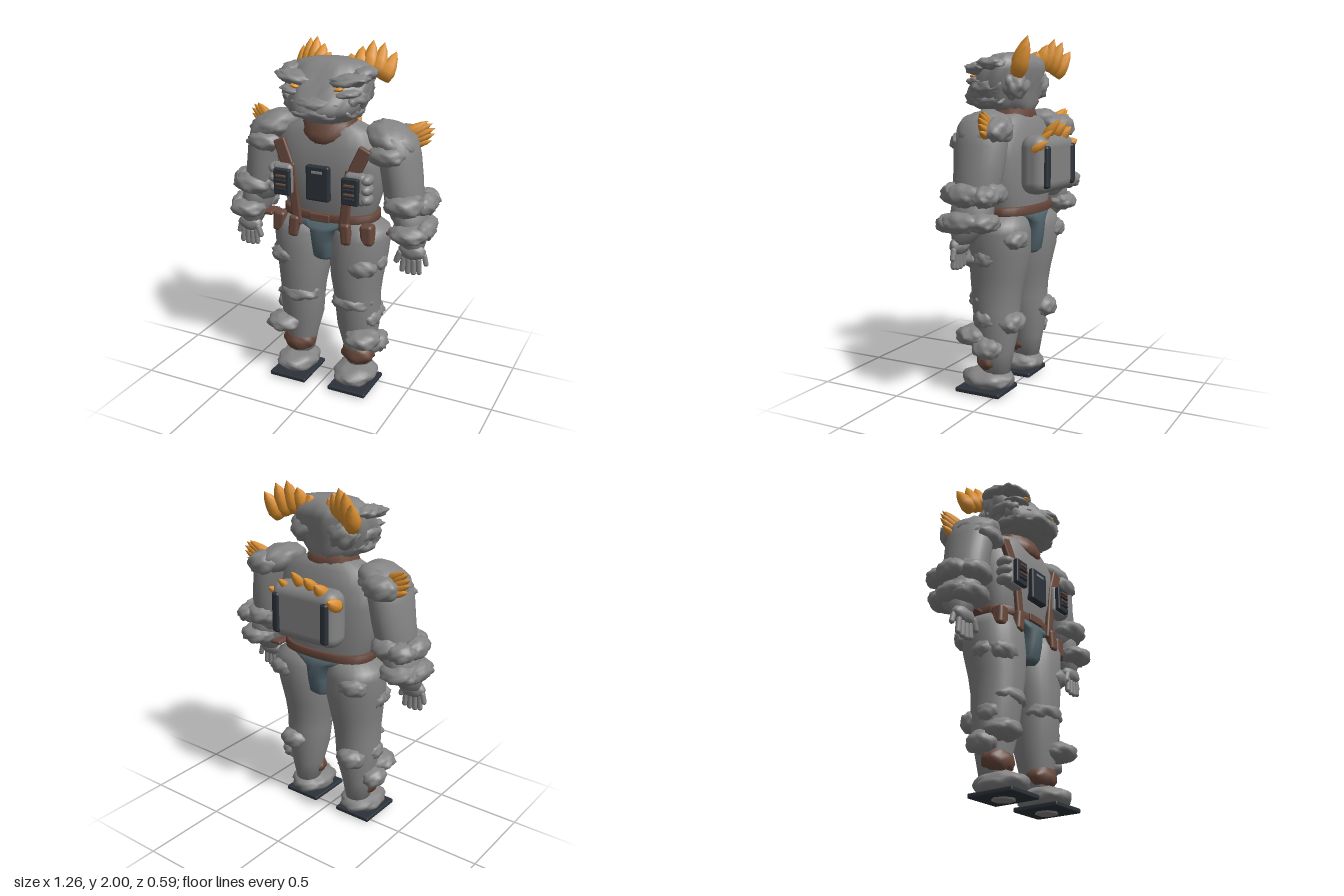
import * as THREE from 'three';
import { mergeVertices } from 'three/addons/utils/BufferGeometryUtils.js';
import { RoundedBoxGeometry } from 'three/addons/geometries/RoundedBoxGeometry.js';

const mat = (name, color) => {
  const m = new THREE.MeshStandardMaterial({ color });
  m.name = name;
  return m;
};

export function createModel() {
  const stone = mat('stone grey', 0x848484);
  const leather = mat('leather brown', 0x68483c);
  const amber = mat('amber', 0xdc9030);
  const dark = mat('dark slate', 0x2c323a);
  const cloth = mat('cloth teal', 0x50636b);
  const metal = mat('light metal', 0x858a90);

  const model = new THREE.Group();
  model.name = 'rockCreature';
  const add = (name, geo, material, x = 0, y = 0, z = 0, rz = 0, rx = 0) => {
    const m = new THREE.Mesh(geo, material);
    m.name = name;
    m.position.set(x, y, z);
    m.rotation.set(rx, 0, rz);
    model.add(m);
    return m;
  };

  // Lumpy boulder: sphere roughened by a direction-based rule
  let seed = 1;
  const rock = (name, x, y, z, rx, ry, rz, tilt = 0, rough = 0.13, material = stone) => {
    let g = new THREE.IcosahedronGeometry(1, 4);
    g.deleteAttribute('uv');
    g.deleteAttribute('normal');
    g = mergeVertices(g, 1e-4);
    const p = g.attributes.position;
    const k = seed++ * 1.7;
    for (let i = 0; i < p.count; i++) {
      const a = p.getX(i), b = p.getY(i), c = p.getZ(i);
      const ridge = Math.abs(Math.sin(a * 4 + b * 3 + k) * Math.cos(c * 4.5 - b * 2 - k));
      const r = 1 + rough * (1.3 * ridge - 0.4 + 0.5 * Math.sin(b * 8 + a * 7 + k) * Math.cos(c * 9 + k));
      p.setXYZ(i, a * r * rx, b * r * ry, c * r * rz);
    }
    g.computeVertexNormals();
    return add(name, g, material, x, y, z, tilt);
  };

  // Body surface through stacked sections [x, y, z, rx, rz]; power above 2 gives boxier sections
  const loft = (name, rows, material, power = 2, rough = 0, n = 28) => {
    const pos = [], idx = [];
    const q = (v) => Math.sign(v) * Math.abs(v) ** (2 / power);
    rows.forEach(([x, y, z, rx, rz], i) => {
      for (let j = 0; j < n; j++) {
        const t = (j / n) * Math.PI * 2;
        const r = 1 + rough * Math.sin(j * 2.3 + i * 4.1) * Math.cos(j * 1.1 - i * 2);
        pos.push(x + q(Math.cos(t)) * rx * r, y, z + q(Math.sin(t)) * rz * r);
      }
    });
    for (let i = 0; i < rows.length - 1; i++) {
      for (let j = 0; j < n; j++) {
        const a = i * n + j, b = i * n + (j + 1) % n;
        idx.push(a, a + n, b, b, a + n, b + n);
      }
    }
    [0, rows.length - 1].forEach((i) => {
      const c = pos.length / 3;
      pos.push(...rows[i].slice(0, 3));
      for (let j = 0; j < n; j++) {
        const a = i * n + j, b = i * n + (j + 1) % n;
        idx.push(c, i ? b : a, i ? a : b);
      }
    });
    const g = new THREE.BufferGeometry();
    g.setAttribute('position', new THREE.Float32BufferAttribute(pos, 3));
    g.setIndex(idx);
    g.computeVertexNormals();
    return add(name, g, material);
  };

  // Swollen spike running from base to tip
  const spike = (name, base, tip, radius) => {
    const a = new THREE.Vector3(...base), d = new THREE.Vector3(...tip).sub(a), h = d.length();
    const profile = [[0, 0], [0.75, 0], [1, 0.25], [0.85, 0.5], [0.5, 0.78], [0, 1]]
      .map(([r, y]) => new THREE.Vector2(r * radius, y * h));
    const m = add(name, new THREE.LatheGeometry(profile, 8), amber, ...base);
    m.quaternion.setFromUnitVectors(new THREE.Vector3(0, 1, 0), d.normalize());
  };
  const box = (name, x, y, z, w, h, d, material, r = 0.01, tilt = 0, rx = 0) =>
    add(name, new RoundedBoxGeometry(w, h, d, 3, r), material, x, y, z, tilt, rx);

  // Torso, hips and collar
  loft('torso', [[0, 1, 0, .23, .13], [0, 1.08, 0, .265, .145], [0, 1.2, .01, .305, .16], [0, 1.35, .01, .325, .165],
    [0, 1.46, .01, .31, .15], [0, 1.54, .01, .25, .125], [0, 1.59, .01, .12, .1]], stone, 2.5);
  loft('loincloth', [[0, .8, .01, .058, .14], [0, .82, .01, .066, .165], [0, .9, .01, .074, .18], [0, .98, .01, .084, .185],
    [0, 1.0, .01, .15, .175], [0, 1.04, 0, .24, .155]], cloth, 3);
  loft('belt', [[0, 1.03, 0, .27, .155], [0, 1.035, 0, .285, .165], [0, 1.075, 0, .285, .165], [0, 1.08, 0, .27, .155]], leather, 2.5);
  box('buckle', 0, 1.055, .165, .12, .045, .02, leather, .005);
  loft('collar', [[0, 1.475, .05, .09, .11], [0, 1.495, .045, .125, .125], [0, 1.53, .035, .15, .135],
    [0, 1.575, .02, .15, .125], [0, 1.62, .02, .13, .11]], leather, 2.3, .04);

  // Head with jutting jaw
  loft('head', [[0, 1.59, .045, .12, .13], [0, 1.615, .06, .165, .16], [0, 1.645, .08, .195, .19], [0, 1.68, .085, .215, .2],
    [0, 1.72, .065, .228, .19], [0, 1.77, .045, .238, .18], [0, 1.82, .02, .238, .165], [0, 1.865, 0, .222, .145],
    [0, 1.9, 0, .18, .11], [0, 1.915, 0, .1, .07]], stone, 2, .075, 40);
  rock('upperLip', 0, 1.705, .165, .145, .045, .11);
  rock('lowerJaw', 0, 1.655, .17, .15, .042, .115);

  // Chest unit and backpack
  box('chestUnit', 0, 1.26, .175, .14, .2, .05, dark, .012);
  box('chestUnitLabel', 0, 1.325, .2, .065, .015, .008, metal, .002);
  box('backpack', 0, 1.31, -.2, .44, .32, .155, stone, .065);
  [[-.2, .042, 1.385, 1.435], [-.115, .04, 1.43, 1.51], [-.045, .034, 1.45, 1.535],
    [.04, .03, 1.455, 1.555], [.13, .025, 1.42, 1.5], [.2, .027, 1.385, 1.44]]
    .forEach(([x, r, y, ty]) => spike('backpackSpike', [x, y, -.2], [x, ty, -.293], r));

  for (const s of [1, -1]) {
    // Face and skull
    rock('brow', s * .15, 1.822, .125, .115, .036, .09, s * .15, .18);
    rock('browOuter', s * .21, 1.85, .04, .06, .035, .09, 0, .16);
    rock('cheek', s * .19, 1.73, .08, .05, .05, .1, 0, .16);
    rock('jawLump', s * .16, 1.655, .08, .05, .04, .1);
    rock('underEye', s * .15, 1.757, .145, .08, .024, .075, s * .1);
    rock('eye', s * .128, 1.785, .196, .026, .011, .022, s * .2, 0, amber);
    rock('skullLump', s * .12, 1.74, -.06, .09, .08, .07, 0, .18);

    // Head crest
    [[.09, 1.84, -.06, .06, 1.925, -.105], [.125, 1.835, -.075, .115, 1.965, -.14], [.165, 1.825, -.095, .17, 1.998, -.16],
      [.205, 1.81, -.115, .225, 1.985, -.185], [.24, 1.79, -.13, .285, 1.935, -.21]]
      .forEach((c) => spike('crestSpike', [s * c[0], c[1], c[2]], [s * c[3], c[4], c[5]], .048));

    // Arm
    loft('upperArm', [[s * .455, 1.08, .01, .085, .1], [s * .438, 1.18, .01, .105, .13], [s * .42, 1.3, 0, .11, .14],
      [s * .4, 1.43, 0, .112, .15], [s * .37, 1.53, 0, .12, .135], [s * .34, 1.585, 0, .07, .08]], stone);
    rock('shoulder', s * .36, 1.51, 0, .145, .085, .145, -s * .35, .1);
    loft('forearm', [[s * .51, .92, .05, .06, .05], [s * .5, 1, .02, .085, .1], [s * .475, 1.08, .01, .095, .12],
      [s * .46, 1.18, .01, .09, .11]], stone);
    [[.37, 1.44, .115, .1, .055, .065], [.4, 1.5, -.105, .1, .068, .07], [.465, 1.175, .085, .11, .065, .1],
      [.565, 1.175, .01, .055, .06, .095], [.44, 1.18, -.085, .09, .06, .08], [.53, 1.17, -.095, .075, .055, .07],
      [.5, 1.02, .1, .105, .055, .095], [.575, 1.035, .03, .05, .055, .105], [.5, 1.035, -.06, .105, .055, .09]]
      .forEach(([x, y, z, a, b, c]) => rock('armBoulder', s * x, y, z, a, b, c));
    box('wristStrap', s * .41, .99, .02, .1, .022, .11, leather, .008);
    [[.45, 1.555, .525, 1.605], [.455, 1.545, .55, 1.595], [.46, 1.53, .565, 1.57], [.46, 1.51, .565, 1.54], [.46, 1.495, .55, 1.5]]
      .forEach(([x, y, tx, ty], i) => spike('shoulderSpike', [s * (x - .045), y - .03, -.04 - i * .006], [s * tx, ty, -.08], .03));

    // Hand
    rock('palm', s * .512, .91, .065, .078, .05, .042, 0, .06);
    for (let i = 0; i < 4; i++) {
      add('finger', new THREE.CapsuleGeometry(.016, .07, 4, 8), stone, s * (.465 + i * .031), .826 + (i === 0 || i === 3 ? .008 : 0), .075, s * (i - 1.5) * .05);
    }
    add('thumb', new THREE.CapsuleGeometry(.017, .05, 4, 8), stone, s * .44, .875, .085, -s * .35);
    add('littleFinger', new THREE.CapsuleGeometry(.015, .045, 4, 8), stone, s * .588, .87, .06, s * .25);

    // Leg
    loft('leg', [[s * .19, .13, .025, .07, .08], [s * .19, .25, .025, .095, .1], [s * .182, .38, .025, .122, .125],
      [s * .18, .5, .03, .13, .135], [s * .175, .58, .03, .133, .142], [s * .17, .68, .025, .148, .155], [s * .172, .82, .01, .168, .172],
      [s * .182, .94, .005, .17, .172], [s * .185, .99, 0, .158, .155], [s * .16, 1.04, 0, .1, .12]], stone, 2.1);
    [[.235, .785, .125, .09, .058, .065], [.3, .8, .03, .05, .055, .07], [.24, .91, -.125, .09, .055, .06],
      [.17, .55, .085, .12, .06, .1], [.21, .435, -.085, .085, .062, .07], [.255, .345, .13, .1, .055, .1],
      [.3, .29, .03, .065, .06, .085], [.27, .45, .05, .055, .055, .07]]
      .forEach(([x, y, z, a, b, c]) => rock('legBoulder', s * x, y, z, a, b, c));
    rock('ankleWrap', s * .195, .205, .055, .098, .075, .08, 0, .08, leather);

    // Foot
    rock('foot', s * .19, .085, .075, .122, .06, .15, 0, .1);
    box('sole', s * .193, .022, .09, .235, .026, .28, dark, .008);
    add('solePatch', new THREE.CylinderGeometry(.065, .06, .009, 7), stone, s * .19, .0045, .09);

    // Harness straps, chest pouch and radio
    box('harnessStrap', s * .225, 1.39, .145, .075, .18, .035, leather, .012, -s * .42, -.1);
    box('harnessStrapLower', s * .16, 1.17, .158, .055, .36, .03, leather, .012, -s * .12);
    box('chestPouch', s * .22, 1.255, .165, .125, .18, .07, stone, .028);
    for (let i = 0; i < 3; i++) rock('pouchRib', s * .28, 1.2 + i * .055, .155, .033, .031, .05, 0, .03);
    box('radio', s * .206, 1.25, .212, .098, .15, .03, dark, .008);
    for (let i = 0; i < 4; i++) {
      box('radioSlat', s * .206, 1.212 + i * .025, .229, .06, .012, .022, i % 2 ? leather : dark, .003);
    }

    // Belt pouches
    box('outerPouch', s * .272, .985, .12, .075, .12, .075, leather, .02, s * .05);
    box('innerPouch', s * .16, .985, .165, .06, .125, .05, leather, .018, s * .1);

    // Backpack side bars
    box('backpackBar', s * .165, 1.3, -.27, .048, .23, .04, dark, .016);
  }
  return model;
}
